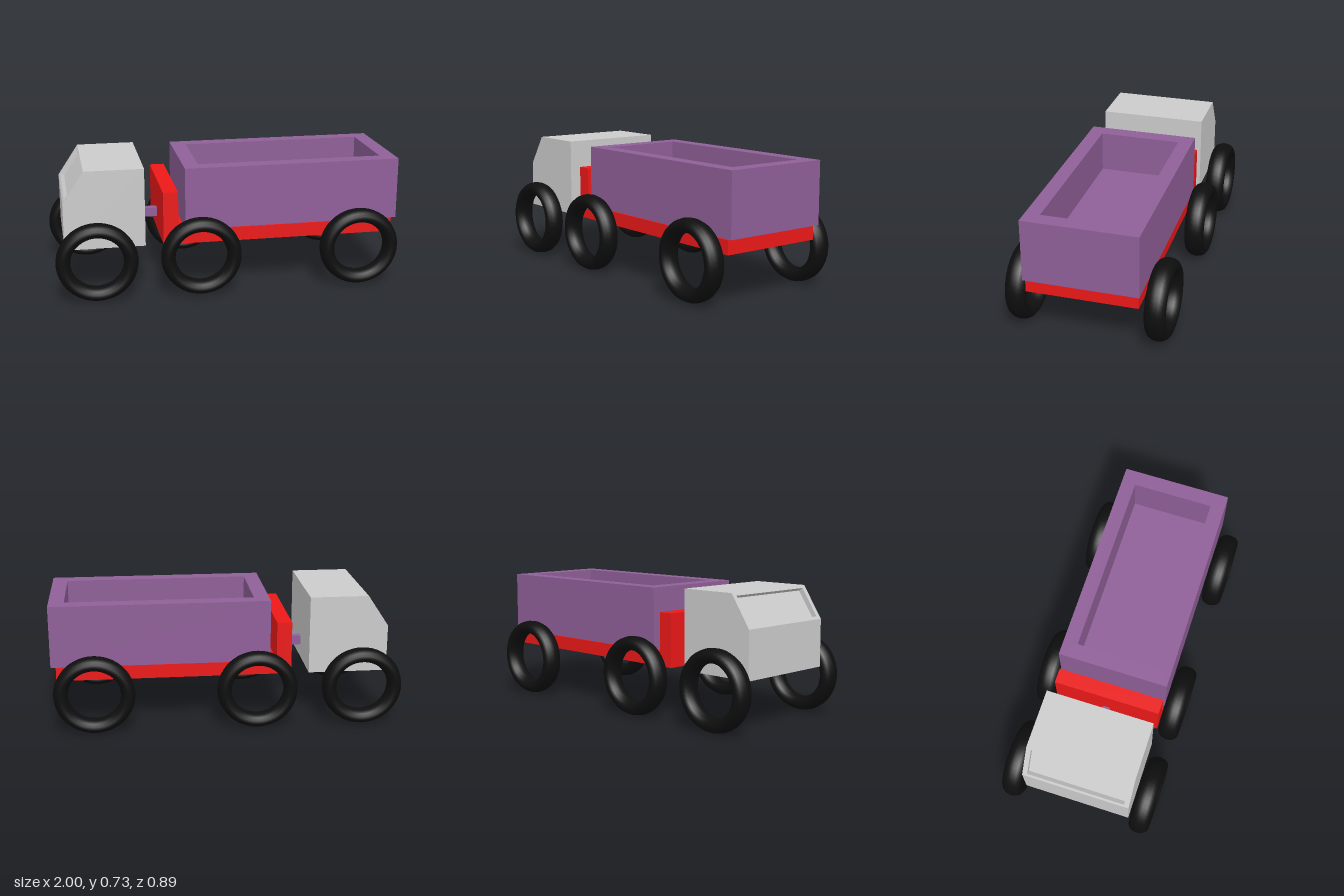
import * as THREE from 'three';

const paint = (color) => new THREE.MeshStandardMaterial({ color, flatShading: true });

// Triangle soup from convex polygons, corners counter-clockwise seen from outside
function polygons(list) {
  const pos = [];
  for (const p of list) {
    for (let i = 1; i < p.length - 1; i++) pos.push(...p[0], ...p[i], ...p[i + 1]);
  }
  const geo = new THREE.BufferGeometry();
  geo.setAttribute('position', new THREE.Float32BufferAttribute(pos, 3));
  geo.computeVertexNormals();
  return geo;
}

// Faces bridging successive rings of corners, closed over the last ring
function bridge(rings) {
  const faces = [];
  for (let r = 0; r < rings.length - 1; r++) {
    const a = rings[r], b = rings[r + 1], n = a.length;
    for (let k = 0; k < n; k++) faces.push([a[k], a[(k + 1) % n], b[(k + 1) % n], b[k]]);
  }
  faces.push(rings[rings.length - 1]);
  return faces;
}

function cabGeometry() {
  const z0 = -0.305, z1 = 0.315, inset = 0.028;
  const profile = [[-0.93, 0.285], [-0.475, 0.285], [-0.475, 0.735], [-0.81, 0.735], [-0.93, 0.555]];
  const at = (z) => profile.map(([x, y]) => [x, y, z]);
  const back = at(z0), front = at(z1);
  const faces = [front, [...back].reverse()];
  for (const i of [0, 1, 2, 4]) {
    const j = (i + 1) % 5;
    faces.push([back[i], back[j], front[j], front[i]]);
  }
  // sloping nose with a recessed windscreen
  const [top, low] = [profile[3], profile[4]];
  const slopeRing = (t, margin, depth) => {
    const point = (s, z) => [
      top[0] + (low[0] - top[0]) * s + 0.832 * depth,
      top[1] + (low[1] - top[1]) * s - 0.555 * depth, z];
    return [point(t, z0 + margin), point(1 - t, z0 + margin), point(1 - t, z1 - margin), point(t, z1 - margin)];
  };
  faces.push(...bridge([slopeRing(0, 0, 0), slopeRing(0.083, 0.028, 0), slopeRing(0.083, 0.028, inset)]));
  return polygons(faces);
}

function cargoBoxGeometry() {
  const ring = (y, hx, hz) => [[-hx, hz], [hx, hz], [hx, -hz], [-hx, -hz]]
    .map(([x, z]) => [0.375 + x, y, 0.003 + z]);
  const base = ring(0.369, 0.623, 0.318);
  // outside wall, rim, inside wall and floor
  const faces = bridge([base, ring(0.725, 0.623, 0.318), ring(0.725, 0.535, 0.235), ring(0.49, 0.535, 0.235)]);
  faces.push([...base].reverse());
  return polygons(faces);
}

function chassisGeometry() {
  const shape = new THREE.Shape([
    [-0.373, 0.285], [0.97, 0.285], [0.97, 0.364], [-0.287, 0.364], [-0.287, 0.59], [-0.373, 0.59],
  ].map(([x, y]) => new THREE.Vector2(x, y)));
  const geo = new THREE.ExtrudeGeometry(shape, { depth: 0.62, bevelEnabled: false });
  return geo.translate(0, 0, -0.304);
}

export function createModel() {
  const model = new THREE.Group();
  const purple = paint(0x8f5f98);
  const rubber = new THREE.MeshStandardMaterial({ color: 0x0e0e0e });
  const add = (name, geo, mat) => {
    const mesh = new THREE.Mesh(geo, mat);
    mesh.name = name;
    model.add(mesh);
    return mesh;
  };

  add('cab', cabGeometry(), paint(0xcccccc));
  add('chassis', chassisGeometry(), paint(0xec1818));
  add('cargoBox', cargoBoxGeometry(), purple);

  // bar joining cab and chassis
  add('hitch', new THREE.BoxGeometry(0.12, 0.053, 0.043), purple).position.set(-0.425, 0.388, 0.003);

  // three pairs of open ring tyres, wider than they are thick
  const tyre = new THREE.TorusGeometry(0.189, 0.041, 14, 48).scale(1, 0.98, 1.42);
  const axles = [['front', -0.755, -0.77], ['middle', -0.167, -0.167], ['rear', 0.757, 0.757]];
  for (const [name, xLeft, xRight] of axles) {
    for (const side of [1, -1]) {
      const wheel = add(`${name}Wheel${side > 0 ? 'Near' : 'Far'}`, tyre, rubber);
      wheel.position.set(side > 0 ? xLeft : xRight, side > 0 ? 0.23 : 0.226, side > 0 ? 0.384 : -0.386);
      wheel.rotation.y = -0.015;
    }
  }
  return model;
}
